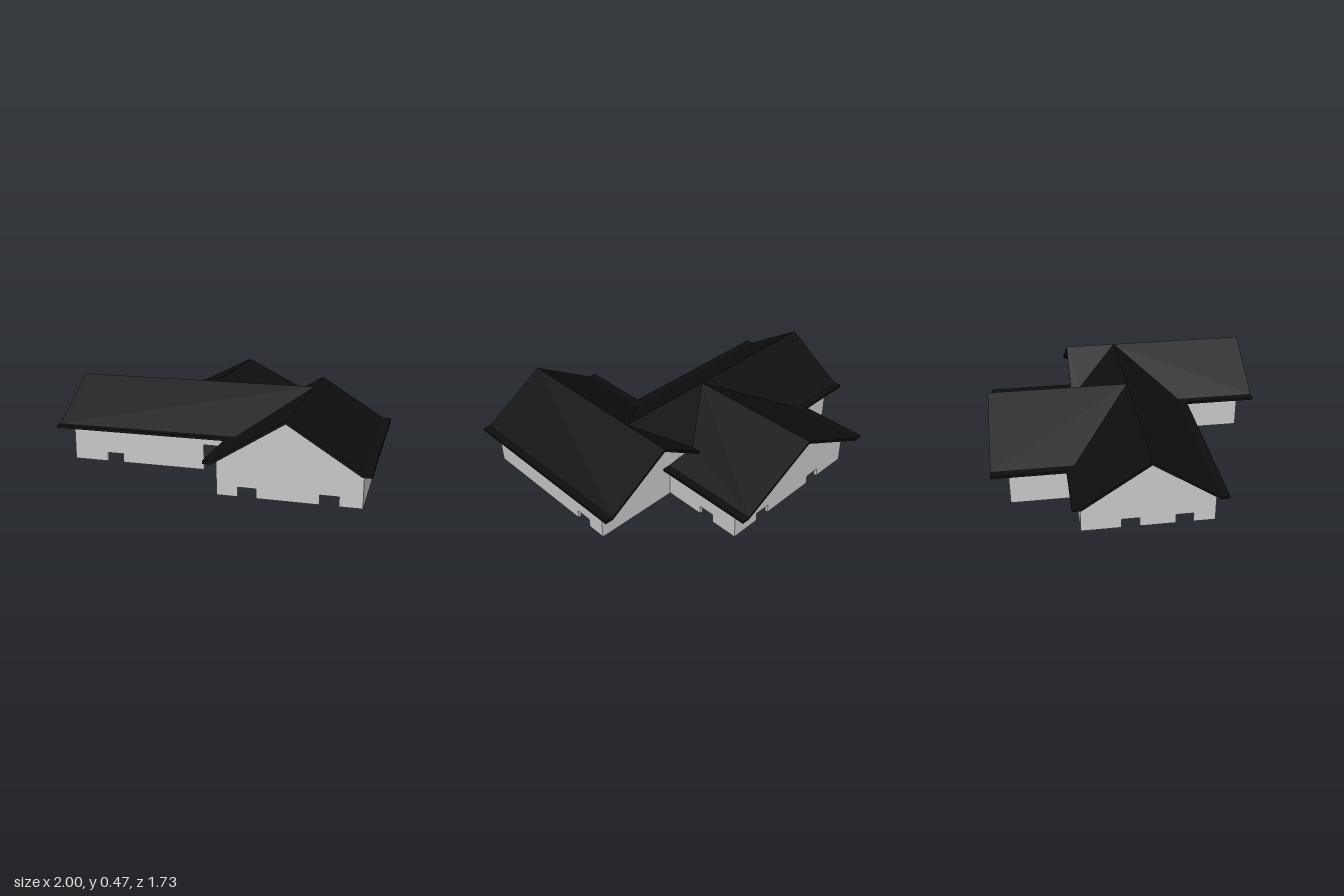
import * as THREE from 'three';

const WALL_H = 0.2, T = 0.02;

export function createModel() {
  const model = new THREE.Group();
  model.name = 'house';
  const wallMat = new THREE.MeshStandardMaterial({ color: 0xc8c8c8 });
  wallMat.name = 'wall grey';
  const roofMat = new THREE.MeshStandardMaterial({ color: 0x0e0e0e });
  roofMat.name = 'roof black';

  const add = (geo, mat, name) => {
    const mesh = new THREE.Mesh(geo, mat);
    mesh.name = name;
    model.add(mesh);
  };

  // Wall running along 'x' or 'z' from a to b, with ground openings
  // [start, end, height] in rising order and an optional gable peak.
  function wall(name, axis, at, a, b, openings = [], gable = false) {
    const pts = [[a, 0]];
    for (const [s, e, h] of openings) pts.push([s, 0], [s, h], [e, h], [e, 0]);
    pts.push([b, 0], [b, WALL_H]);
    if (gable) pts.push([(a + b) / 2, 0.452]);
    pts.push([a, WALL_H]);
    const shape = new THREE.Shape(pts.map(p => new THREE.Vector2(...p)));
    const geo = new THREE.ExtrudeGeometry(shape, { depth: T, bevelEnabled: false });
    geo.translate(0, 0, -T / 2);
    if (axis === 'z') geo.rotateY(-Math.PI / 2).translate(at, 0, 0);
    else geo.translate(0, 0, at);
    add(geo, wallMat, name);
  }

  // Roof panel: plan polygon of [x, z] lifted to a height rule.
  function panel(name, plan, height) {
    const shape = new THREE.Shape(plan.map(([x, z]) => new THREE.Vector2(x, -z)));
    const geo = new THREE.ExtrudeGeometry(shape, { depth: 0.017, bevelEnabled: false });
    geo.rotateX(-Math.PI / 2);
    const p = geo.attributes.position;
    for (let i = 0; i < p.count; i++) p.setY(i, p.getY(i) + height(p.getX(i), p.getZ(i)));
    geo.computeVertexNormals();
    add(geo, roofMat, name);
  }

  function eave(name, x0, x1, z0, z1) {
    const geo = new THREE.BoxGeometry(x1 - x0, 0.017, z1 - z0);
    geo.translate((x0 + x1) / 2, 0.2115, (z0 + z1) / 2);
    add(geo, roofMat, name);
  }

  const W = 0.055, D = 0.155, i = T / 2; // window height, door height, inset

  // Front wing
  wall('frontWingGable', 'x', 0.765 - i, 0.15, 0.95, [[0.27, 0.375, W], [0.72, 0.825, W]], true);
  wall('frontWingBackGable', 'x', -0.235 + i, 0.15, 0.95, [], true);
  wall('frontWingRightWall', 'z', 0.95 - i, -0.235, 0.765, [[-0.115, -0.01, W]]);
  wall('frontWingInnerWall', 'z', 0.15 + i, 0.36, 0.765);

  // Main wing
  wall('mainFrontWall', 'x', 0.365 - i, -0.9, 0.17, [[-0.68, -0.575, W], [-0.05, 0.1, D]]);
  wall('mainGable', 'z', -0.9 + i, -0.39, 0.365, [[-0.165, -0.063, W], [0.14, 0.24, W]], true);
  wall('mainBackWall', 'x', -0.39 + i, -0.9, -0.38);

  // Rear wing
  wall('rearGable', 'x', -0.765 + i, -0.575, 0.42, [[-0.34, -0.24, W], [0.13, 0.23, W]], true);
  wall('rearRightWall', 'z', 0.42 - i, -0.765, -0.235, [[-0.59, -0.49, W]]);
  wall('rearLeftWall', 'z', -0.575 + i, -0.765, -0.39);

  // Room partitions with doorways
  wall('hallPartition', 'x', -0.235 + i, -0.38, 0.15, [[-0.31, -0.19, D], [-0.05, 0.1, D]]);
  wall('rearPartition', 'z', -0.11, -0.765, -0.235);
  wall('sidePartition', 'z', -0.38, -0.39, 0.365, [[-0.2, -0.05, D]]);

  // Slopes rise from the wall heads to ridges of equal height
  const rise = (d, half) => 0.203 + 0.25 * (1 - Math.abs(d) / half);
  const mainH = (x, z) => rise(z + 0.015, 0.375);
  const rearH = x => rise(x + 0.0775, 0.4975);
  const frontH = x => rise(x - 0.55, 0.4);
  const R = -0.015, B = -0.0775, V = [0.27, -0.278]; // ridge z, rear ridge x, valley meeting

  panel('mainRoofFront', [[-1, 0.36], [0.15, 0.36], [0.55, R], [-1, R]], mainH);
  panel('mainRoofBack', [[-1, R], [B, R], [-0.575, -0.39], [-1, -0.39]], mainH);
  panel('mainRoofValley', [[B, R], [0.55, R], V], mainH);
  panel('rearRoofLeft', [[B, -0.865], [B, R], [-0.575, -0.39], [-0.575, -0.865]], rearH);
  panel('rearRoofRight', [[B, -0.865], [0.42, -0.865], [0.42, -0.235], V, [B, R]], rearH);
  panel('frontRoofRight', [[0.55, -0.34], [0.95, -0.34], [0.95, 0.86], [0.55, 0.86]], frontH);
  panel('frontRoofLeft', [[0.55, R], [0.15, 0.36], [0.15, 0.86], [0.55, 0.86]], frontH);
  panel('frontRoofLeftBack', [[0.55, -0.34], [0.27, -0.34], V, [0.55, R]], frontH);

  // Flat eaves along the foot of each slope
  eave('mainEaveFront', -1, 0.15, 0.36, 0.41);
  eave('mainEaveBack', -1, -0.575, -0.44, -0.39);
  eave('rearEaveLeft', -0.625, -0.575, -0.865, -0.39);
  eave('rearEaveRight', 0.42, 0.47, -0.865, -0.235);
  eave('frontEaveRight', 0.95, 1, -0.34, 0.86);
  eave('frontEaveLeft', 0.1, 0.15, 0.36, 0.86);

  return model;
}
